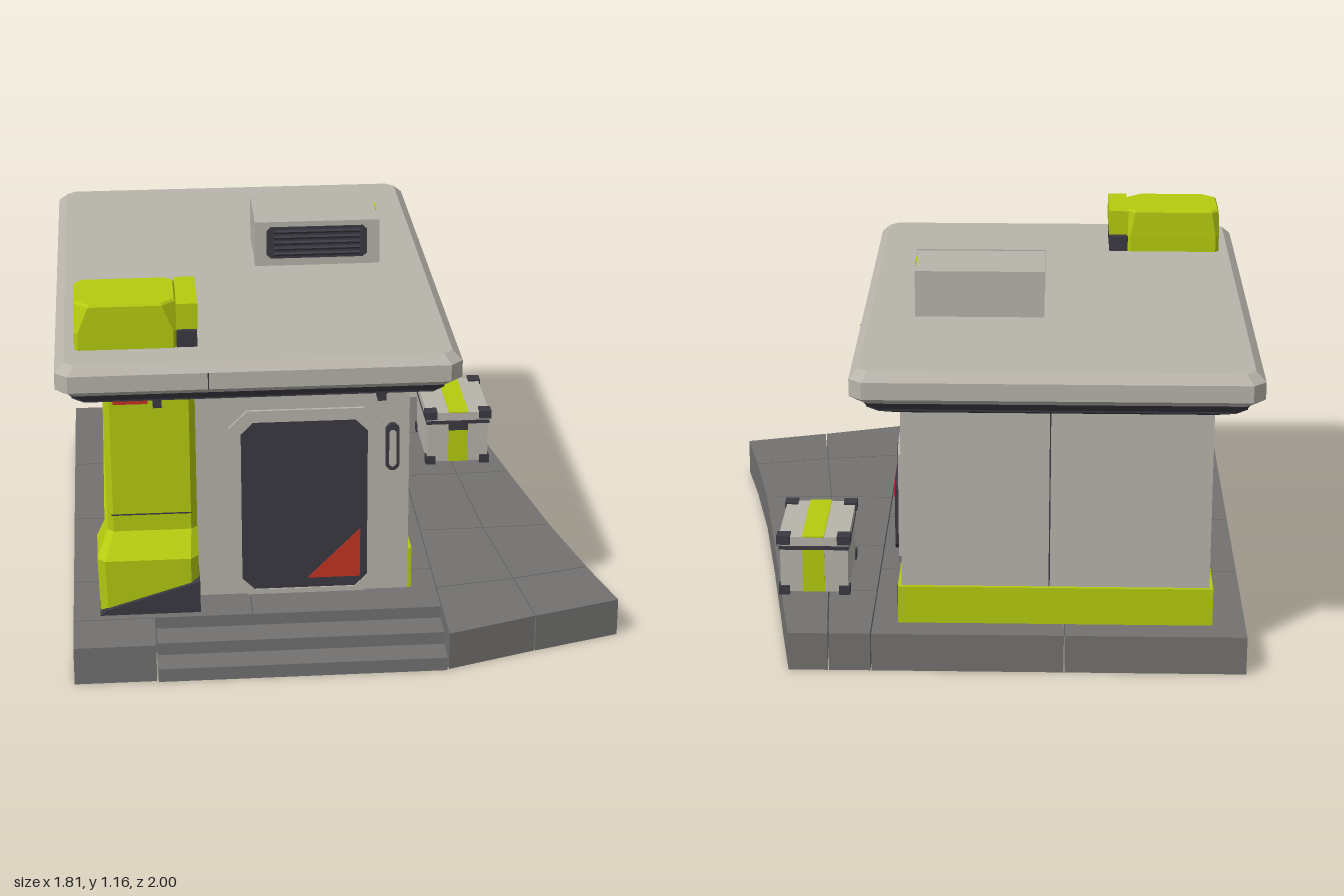
import * as THREE from 'three';

const mat = (name, color) => new THREE.MeshStandardMaterial({ name, color });

export function createModel() {
  const model = new THREE.Group();
  const shell = mat('warm grey', 0xb8b4ab), lime = mat('lime', 0xb5cb10), dark = mat('charcoal', 0x3b3a43),
    stone = mat('paving grey', 0x737271), red = mat('red', 0xc23422);

  const add = (name, geo, m, parent = model) => {
    const mesh = new THREE.Mesh(geo, m);
    mesh.name = name;
    parent.add(mesh);
    return mesh;
  };
  const group = (name) => {
    const g = new THREE.Group();
    g.name = name;
    model.add(g);
    return g;
  };
  // box given by its limits
  const box = (name, m, x0, x1, y0, y1, z0, z1, parent) => add(name,
    new THREE.BoxGeometry(x1 - x0, y1 - y0, z1 - z0).translate((x0 + x1) / 2, (y0 + y1) / 2, (z0 + z1) / 2), m, parent);
  const shapeOf = (pts) => new THREE.Shape(pts.map(([x, y]) => new THREE.Vector2(x, y)));
  const extrude = (shape, depth) => new THREE.ExtrudeGeometry(shape, { depth, bevelEnabled: false });
  const octagon = (x0, x1, y0, y1, c) => [[x0 + c, y0], [x1 - c, y0], [x1, y0 + c], [x1, y1 - c],
    [x1 - c, y1], [x0 + c, y1], [x0, y1 - c], [x0, y0 + c]];

  // stack of chamfered rectangles: [y, x0, x1, z0, z1, frontChamfer, backChamfer]
  const loft = (levels) => {
    const rings = levels.map(([y, x0, x1, z0, z1, f, b = f]) => [[x0 + f, z1], [x1 - f, z1], [x1, z1 - f],
      [x1, z0 + b], [x1 - b, z0], [x0 + b, z0], [x0, z0 + b], [x0, z1 - f]].map(([x, z]) => [x, y, z]));
    const pos = [];
    const tri = (...p) => p.forEach((v) => pos.push(...v));
    for (let i = 0; i < rings.length - 1; i++) {
      for (let j = 0; j < 8; j++) {
        const k = (j + 1) % 8, lo = rings[i], hi = rings[i + 1];
        tri(lo[j], lo[k], hi[k]);
        tri(lo[j], hi[k], hi[j]);
      }
    }
    const top = rings[rings.length - 1], bottom = rings[0];
    for (let j = 1; j < 7; j++) {
      tri(top[0], top[j], top[j + 1]);
      tri(bottom[0], bottom[j + 1], bottom[j]);
    }
    const g = new THREE.BufferGeometry();
    g.setAttribute('position', new THREE.Float32BufferAttribute(pos, 3));
    g.computeVertexNormals();
    return g;
  };

  // Paving: tiles drawn in the x-z plane, slightly shrunk to leave joints
  const paving = group('paving');
  const tile = (pts, h = 0.127) => {
    const cx = pts.reduce((s, p) => s + p[0], 0) / pts.length, cz = pts.reduce((s, p) => s + p[1], 0) / pts.length;
    const inset = pts.map(([x, z]) => [x - Math.sign(x - cx) * 0.002, -(z - Math.sign(z - cz) * 0.002)]);
    add('pavingTile', extrude(shapeOf(inset), h).rotateX(-Math.PI / 2), stone, paving);
  };
  const rect = (x0, x1, z0, z1) => [[x0, z0], [x1, z0], [x1, z1], [x0, z1]];
  const rows = [-0.975, -0.44, 0.03, 0.52, 0.8];
  for (let i = 0; i < 4; i++) {
    tile(rect(-0.88, -0.3, rows[i], rows[i + 1]));
    tile(rect(-0.3, 0.315, rows[i], rows[i + 1]));
  }
  tile(rect(-0.88, -0.615, 0.8, 0.99));
  const inner = [-0.975, -0.63, -0.24, 0.22, 0.66, 0.99].map((z) => [0.315, z]);
  const middle = [[0.45, -0.975], [0.475, -0.63], [0.505, -0.24], [0.535, 0.22], [0.58, 0.615], [0.61, 0.89]];
  const outer = [[0.58, -0.975], [0.635, -0.63], [0.695, -0.245], [0.77, 0.21], [0.84, 0.55], [0.9, 0.8]];
  for (let i = 0; i < 5; i++) {
    tile([inner[i], middle[i], middle[i + 1], inner[i + 1]]);
    tile([middle[i], outer[i], outer[i + 1], middle[i + 1]]);
  }
  // Entrance steps
  box('upperStep', stone, -0.612, 0.312, 0, 0.087, 0.798, 0.9, paving);
  box('lowerStep', stone, -0.612, 0.312, 0, 0.045, 0.9, 0.995, paving);

  // Walls and their panel joints
  const house = group('house');
  box('walls', shell, -0.76, 0.22, 0.125, 0.86, -0.87, 0.65, house);
  box('sideJoint', dark, 0.219, 0.2215, 0.255, 0.85, -0.454, -0.45, house);
  box('backJoint', dark, -0.252, -0.248, 0.255, 0.85, -0.8715, -0.869, house);

  // Lime skirting on both sides and the back
  const skirt = shapeOf([[-0.65, 0.127], [0.88, 0.127], [0.88, 0.252], [-0.39, 0.252], [-0.44, 0.27], [-0.65, 0.27]]);
  add('rightSkirting', extrude(skirt, 0.012).rotateY(Math.PI / 2).translate(0.22, 0, 0), lime, house);
  box('leftSkirting', lime, -0.772, -0.76, 0.127, 0.252, -0.88, 0.56, house);
  box('backSkirting', lime, -0.77, 0.23, 0.127, 0.252, -0.882, -0.87, house);
  for (const z of [0.39, -0.11, -0.63, -0.865]) {
    box('skirtingJoint', dark, 0.23, 0.2335, 0.127, 0.252, z - 0.002, z + 0.002, house);
  }

  // Framed panels: u runs along x on the front, along -z on the side
  const place = { front: (g, out) => g.translate(0, 0, 0.65 + out), side: (g, out) => g.rotateY(Math.PI / 2).translate(0.22 + out, 0, 0) };
  const plate = (name, m, wall, pts, depth, out = 0, hole) => {
    const s = shapeOf(pts);
    if (hole) s.holes.push(shapeOf(hole));
    return add(name, place[wall](extrude(s, depth), out), m, house);
  };
  const framed = (name, wall, [a, b, c, d, cut], [e, f, g, h, cut2]) => {
    const hole = octagon(e, f, g, h, cut2);
    plate(name + 'Frame', shell, wall, octagon(a, b, c, d, cut), 0.01, 0, hole);
    plate(name, dark, wall, hole, 0.005);
  };
  framed('door', 'front', [-0.365, 0.135, 0.128, 0.78, 0.06], [-0.325, 0.085, 0.145, 0.74, 0.04]);
  framed('window', 'side', [-0.465, 0.395, 0.585, 0.755, 0.035], [-0.45, 0.38, 0.6, 0.74, 0.03]);
  framed('servicePanel', 'side', [0.495, 0.83, 0.3, 0.715, 0.035], [0.515, 0.81, 0.32, 0.7, 0.03]);
  plate('doorTriangle', red, 'front', [[-0.11, 0.18], [0.062, 0.18], [0.062, 0.352]], 0.003, 0.005);
  plate('doorHandle', dark, 'front', octagon(0.143, 0.186, 0.562, 0.722, 0.014), 0.02);
  plate('doorHandleGrip', shell, 'front', octagon(0.153, 0.176, 0.576, 0.704, 0.008), 0.003, 0.02);
  plate('serviceBox', dark, 'side', octagon(0.55, 0.765, 0.33, 0.57, 0.02), 0.025);
  plate('serviceLabel', red, 'side', octagon(0.573, 0.738, 0.5, 0.55, 0.001), 0.004, 0.025);
  for (const u of [0.602, 0.693]) plate('serviceHose', dark, 'side', octagon(u - 0.02, u + 0.02, 0.55, 0.67, 0.012), 0.018);

  // Front pillar with flared base and dark sloping foot
  const pillar = group('pillar');
  add('pillarShaft', loft([
    [0.127, -0.79, -0.47, 0.55, 0.755, 0.025, 0.005], [0.315, -0.795, -0.47, 0.55, 0.76, 0.025, 0.005],
    [0.39, -0.76, -0.47, 0.55, 0.692, 0.02, 0.005], [0.86, -0.762, -0.47, 0.55, 0.692, 0.02, 0.005],
  ]), lime, pillar);
  box('pillarJoint', dark, -0.745, -0.488, 0.446, 0.45, 0.68, 0.694, pillar);
  add('pillarFoot', extrude(shapeOf([[-0.792, 0.127], [-0.467, 0.127], [-0.467, 0.237], [-0.77, 0.145]]), 0.135)
    .translate(0, 0, 0.635), dark, pillar);

  // Roof slab with chamfered rim over a dark stepped eave
  const roof = group('roof');
  const roofLevel = (y, d, c) => [y, -0.908 + d, 0.372 - d, -1 + d, 0.803 - d, c];
  add('roofSlab', loft([roofLevel(0.9, 0.025, 0.035), roofLevel(0.92, 0, 0.04), roofLevel(0.975, 0, 0.04),
    roofLevel(1.003, 0.03, 0.03)]), shell, roof);
  add('eave', loft([roofLevel(0.845, 0.105, 0.04), roofLevel(0.868, 0.05, 0.04), roofLevel(0.873, 0.05, 0.04),
    roofLevel(0.902, 0.03, 0.04)]), dark, roof);
  box('frontRimJoint', dark, -0.432, -0.428, 0.92, 0.975, 0.8, 0.805, roof);
  box('sideRimJoint', dark, 0.37, 0.374, 0.92, 0.975, -0.402, -0.398, roof);
  box('eaveLight', shell, -0.23, 0, 0.853, 0.867, 0.69, 0.745, roof);
  box('eaveWarningLight', red, -0.73, -0.62, 0.853, 0.867, 0.69, 0.745, roof);
  for (const x of [-0.59, 0.12]) box('eaveHook', dark, x - 0.014, x + 0.014, 0.84, 0.872, 0.69, 0.75, roof);

  // Rooftop ventilation unit
  const vent = group('ventilationUnit');
  box('ventBody', shell, -0.228, 0.195, 1, 1.157, -0.4, -0.15, vent);
  box('ventFront', shell, -0.23, 0.198, 1, 1.16, -0.147, -0.09, vent);
  box('ventSeam', dark, -0.224, 0.192, 1, 1.153, -0.15, -0.147, vent);
  box('ventStripe', lime, 0.194, 0.2, 1, 1.157, -0.28, -0.225, vent);
  add('ventGrille', extrude(shapeOf(octagon(-0.19, 0.155, 1.03, 1.142, 0.014)), 0.004).translate(0, 0, -0.09), dark, vent);
  for (let i = 0; i < 5; i++) {
    const slat = box('ventSlat', dark, -0.165, 0.13, -0.004, 0.004, -0.006, 0.006, vent);
    slat.position.set(0, 1.046 + i * 0.02, -0.084);
    slat.rotation.x = 0.5;
  }

  // Lime rooftop unit
  const unit = group('rooftopUnit');
  add('unitBody', loft([[1, -0.845, -0.52, 0.402, 0.652, 0.012], [1.06, -0.845, -0.52, 0.402, 0.652, 0.012],
    [1.145, -0.843, -0.522, 0.404, 0.65, 0.045, 0.025], [1.152, -0.838, -0.527, 0.409, 0.645, 0.045, 0.025]]), lime, unit);
  box('unitSidePod', lime, -0.522, -0.455, 1.065, 1.15, 0.402, 0.652, unit);
  box('unitSideBase', dark, -0.522, -0.457, 1, 1.057, 0.406, 0.648, unit);

  // Storage crate
  const crate = group('crate');
  box('crateBody', shell, 0.408, 0.63, 0.135, 0.285, -0.658, -0.338, crate);
  box('crateSeal', dark, 0.404, 0.634, 0.283, 0.297, -0.662, -0.334, crate);
  box('crateLid', shell, 0.404, 0.634, 0.297, 0.328, -0.662, -0.334, crate);
  box('crateTopStripe', lime, 0.485, 0.557, 0.327, 0.331, -0.664, -0.332, crate);
  box('crateStripe', lime, 0.485, 0.557, 0.135, 0.283, -0.661, -0.335, crate);
  box('crateLatch', dark, 0.485, 0.555, 0.262, 0.297, -0.336, -0.325, crate);
  for (const x of [0.42, 0.618]) {
    for (const z of [-0.65, -0.347]) {
      box('crateTopCorner', dark, x - 0.022, x + 0.022, 0.305, 0.335, z - 0.023, z + 0.023, crate);
      box('crateFoot', dark, x - 0.018, x + 0.018, 0.127, 0.157, z - 0.018, z + 0.018, crate);
    }
  }
  return model;
}
